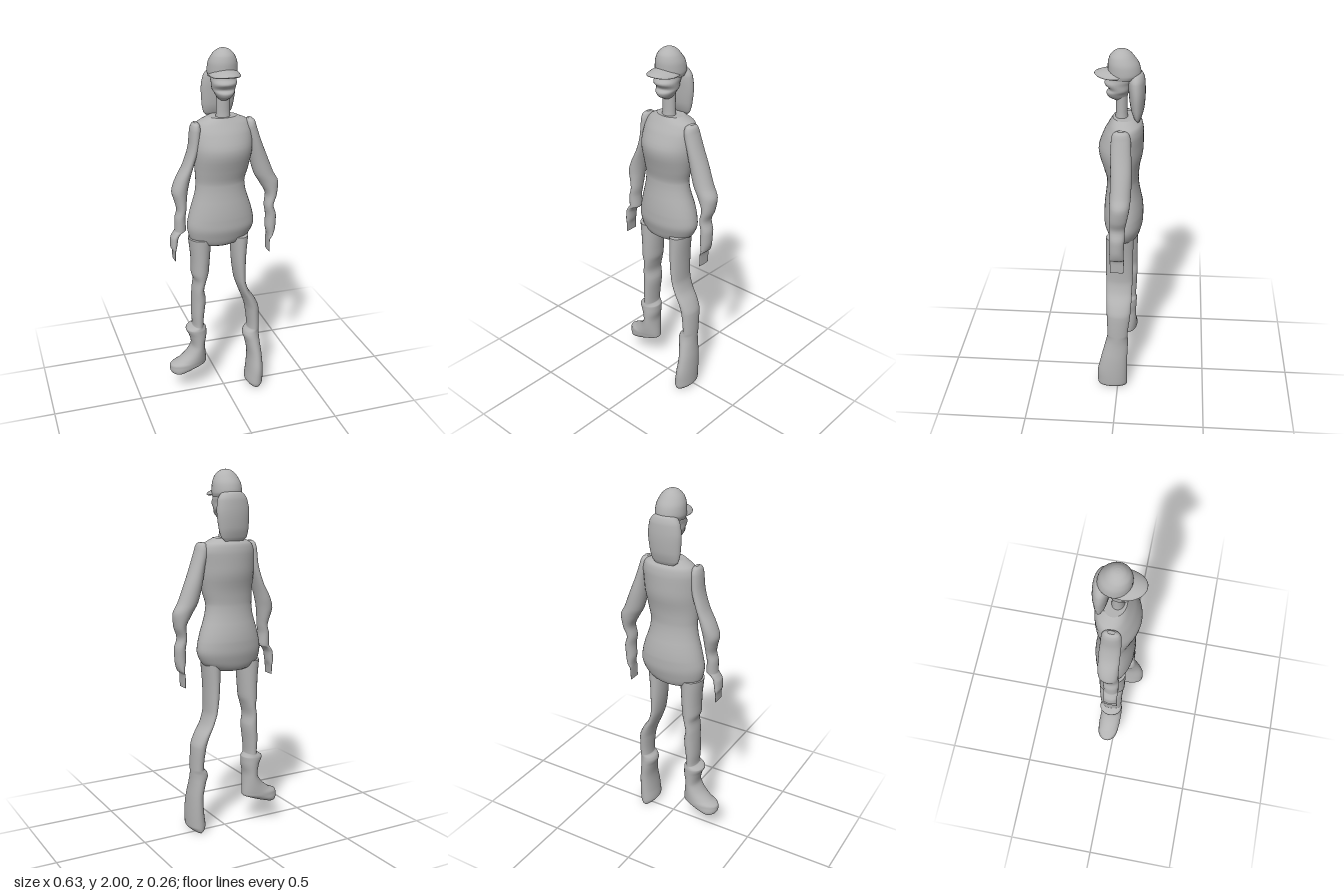
import * as THREE from 'three';

const grey = new THREE.MeshStandardMaterial({ color: 0xb3b3b3 });
grey.name = 'plain grey';

// Monotone cubic through one column of the rows, at height y between rows i and i + 1
function ease(rows, col, i, y) {
  const slope = k => (rows[k + 1][col] - rows[k][col]) / (rows[k + 1][0] - rows[k][0]);
  const tangent = k => {
    if (k === 0) return slope(0);
    if (k === rows.length - 1) return slope(k - 1);
    const a = slope(k - 1), b = slope(k);
    return a * b <= 0 ? 0 : (2 * a * b) / (a + b);
  };
  const h = rows[i + 1][0] - rows[i][0], t = (y - rows[i][0]) / h;
  const t2 = t * t, t3 = t2 * t;
  return (2 * t3 - 3 * t2 + 1) * rows[i][col] + (t3 - 2 * t2 + t) * h * tangent(i)
    + (3 * t2 - 2 * t3) * rows[i + 1][col] + (t3 - t2) * h * tangent(i + 1);
}

// Loft of oval slices. Rows run from bottom to top: [y, xMin, xMax, zBack, zFront]
function loft(name, rows, sides = 28, steps = 4) {
  const rings = [];
  rows.forEach((row, i) => {
    if (i === rows.length - 1) { rings.push(row); return; }
    for (let s = 0; s < steps; s++) {
      const y = row[0] + (rows[i + 1][0] - row[0]) * s / steps;
      rings.push([y, ...[1, 2, 3, 4].map(c => ease(rows, c, i, y))]);
    }
  });
  const pos = [], idx = [];
  const addRing = ([y, x0, x1, z0, z1]) => {
    const start = pos.length / 3;
    for (let j = 0; j < sides; j++) {
      const a = j / sides * Math.PI * 2;
      pos.push((x0 + x1) / 2 + (x1 - x0) / 2 * Math.sin(a), y,
        (z0 + z1) / 2 + (z1 - z0) / 2 * Math.cos(a));
    }
    return start;
  };
  const starts = rings.map(addRing);
  for (let i = 0; i < starts.length - 1; i++) {
    for (let j = 0; j < sides; j++) {
      const k = (j + 1) % sides, a = starts[i], b = starts[i + 1];
      idx.push(a + j, a + k, b + k, a + j, b + k, b + j);
    }
  }
  // flat end caps with their own corners
  [[rings[0], false], [rings[rings.length - 1], true]].forEach(([ring, up]) => {
    const s = addRing(ring), c = pos.length / 3;
    pos.push((ring[1] + ring[2]) / 2, ring[0], (ring[3] + ring[4]) / 2);
    for (let j = 0; j < sides; j++) {
      const k = (j + 1) % sides;
      if (up) idx.push(c, s + j, s + k); else idx.push(c, s + k, s + j);
    }
  });
  const geo = new THREE.BufferGeometry();
  geo.setAttribute('position', new THREE.Float32BufferAttribute(pos, 3));
  geo.setIndex(idx);
  geo.computeVertexNormals();
  const mesh = new THREE.Mesh(geo, grey);
  mesh.name = name;
  return mesh;
}

export function createModel() {
  const model = new THREE.Group();
  model.name = 'figure';

  // Tunic: flared hem, narrow waist, full chest, sloping shoulders
  model.add(loft('tunic', [
    [0.925, -0.11, 0.07, -0.08, 0.035], [0.94, -0.16, 0.11, -0.1, 0.055],
    [0.98, -0.19, 0.155, -0.115, 0.07], [1.04, -0.2, 0.177, -0.127, 0.084],
    [1.1, -0.19, 0.168, -0.128, 0.084], [1.28, -0.15, 0.12, -0.1, 0.068],
    [1.36, -0.155, 0.138, -0.105, 0.085], [1.47, -0.163, 0.158, -0.124, 0.11],
    [1.56, -0.158, 0.16, -0.125, 0.082], [1.61, -0.14, 0.145, -0.118, 0.055],
    [1.645, -0.08, 0.08, -0.085, 0.035],
  ], 40));

  // Neck and head, with chin, mouth and nose in the profile
  model.add(loft('neck', [
    [1.62, -0.04, 0.04, -0.045, 0.025], [1.68, -0.037, 0.037, -0.04, 0.02],
    [1.78, -0.037, 0.037, -0.04, 0.02],
  ]));
  model.add(loft('head', [
    [1.735, -0.022, 0.022, -0.03, 0.025], [1.755, -0.04, 0.04, -0.04, 0.06],
    [1.775, -0.052, 0.052, -0.045, 0.068], [1.795, -0.062, 0.062, -0.055, 0.054],
    [1.825, -0.066, 0.066, -0.065, 0.078], [1.85, -0.068, 0.068, -0.075, 0.06],
    [1.9, -0.068, 0.068, -0.08, 0.05],
  ]));

  // Cap dome
  model.add(loft('capDome', [
    [1.855, -0.074, 0.074, -0.09, 0.05], [1.88, -0.08, 0.08, -0.108, 0.06],
    [1.92, -0.077, 0.077, -0.1, 0.06], [1.96, -0.062, 0.062, -0.075, 0.052],
    [1.987, -0.038, 0.038, -0.05, 0.03], [1.998, -0.016, 0.016, -0.028, 0.008],
    [2.0, -0.002, 0.002, -0.012, -0.008],
  ]));

  // Cap brim: flattened ball, drooping to the sides and the front
  const brimGeo = new THREE.SphereGeometry(1, 32, 16);
  brimGeo.scale(0.08, 0.018, 0.108);
  const p = brimGeo.attributes.position;
  for (let i = 0; i < p.count; i++) {
    p.setY(i, p.getY(i) - 3 * p.getX(i) ** 2 - 0.1 * Math.max(0, p.getZ(i)));
  }
  brimGeo.computeVertexNormals();
  const brim = new THREE.Mesh(brimGeo, grey);
  brim.name = 'capBrim';
  brim.position.set(0, 1.887, 0.02);
  model.add(brim);

  // Long hair hanging behind the head
  model.add(loft('hair', [
    [1.63, -0.06, 0.05, -0.105, -0.085], [1.65, -0.082, 0.07, -0.114, -0.07],
    [1.7, -0.092, 0.084, -0.126, -0.054], [1.78, -0.096, 0.093, -0.131, -0.045],
    [1.84, -0.087, 0.087, -0.128, -0.04], [1.875, -0.065, 0.065, -0.118, -0.045],
    [1.89, -0.03, 0.03, -0.1, -0.06],
  ]));

  // Arms with puffed sleeves and thin blade-like hands
  model.add(loft('leftArm', [
    [0.85, 0.257, 0.261, -0.037, 0.035], [0.92, 0.257, 0.264, -0.04, 0.035],
    [0.945, 0.255, 0.288, -0.04, 0.035], [1.0, 0.244, 0.302, -0.04, 0.037],
    [1.06, 0.246, 0.304, -0.043, 0.037], [1.12, 0.238, 0.288, -0.045, 0.037],
    [1.18, 0.246, 0.308, -0.055, 0.036], [1.25, 0.212, 0.317, -0.068, 0.036],
    [1.31, 0.178, 0.288, -0.073, 0.035], [1.4, 0.154, 0.252, -0.075, 0.034],
    [1.5, 0.136, 0.212, -0.07, 0.036], [1.58, 0.117, 0.185, -0.065, 0.034],
    [1.61, 0.122, 0.175, -0.055, 0.026], [1.624, 0.138, 0.16, -0.035, 0.005],
  ]));
  model.add(loft('rightArm', [
    [0.865, -0.286, -0.282, -0.037, 0.035], [0.91, -0.289, -0.277, -0.04, 0.035],
    [0.945, -0.302, -0.266, -0.04, 0.035], [0.99, -0.3, -0.258, -0.04, 0.035],
    [1.02, -0.284, -0.24, -0.042, 0.035], [1.035, -0.276, -0.214, -0.043, 0.036],
    [1.1, -0.274, -0.217, -0.045, 0.037], [1.15, -0.262, -0.21, -0.048, 0.037],
    [1.2, -0.272, -0.205, -0.06, 0.036], [1.25, -0.284, -0.198, -0.07, 0.036],
    [1.31, -0.265, -0.185, -0.075, 0.035], [1.4, -0.216, -0.16, -0.075, 0.035],
    [1.5, -0.187, -0.13, -0.07, 0.036], [1.58, -0.18, -0.122, -0.065, 0.034],
    [1.61, -0.172, -0.128, -0.055, 0.026], [1.624, -0.158, -0.14, -0.035, 0.005],
  ]));

  // Left leg with its boot reaching the ground
  model.add(loft('leftLeg', [
    [0, 0.155, 0.192, -0.045, 0.09], [0.012, 0.138, 0.21, -0.053, 0.11],
    [0.035, 0.126, 0.225, -0.055, 0.116], [0.1, 0.134, 0.226, -0.055, 0.116],
    [0.2, 0.142, 0.222, -0.055, 0.098], [0.29, 0.128, 0.213, -0.058, 0.076],
    [0.33, 0.116, 0.211, -0.058, 0.066], [0.352, 0.122, 0.211, -0.057, 0.061],
    [0.375, 0.144, 0.211, -0.057, 0.058], [0.5, 0.132, 0.207, -0.07, 0.062],
    [0.56, 0.115, 0.184, -0.074, 0.064], [0.63, 0.088, 0.14, -0.076, 0.067],
    [0.7, 0.066, 0.123, -0.078, 0.069], [0.82, 0.05, 0.126, -0.08, 0.071],
    [0.97, 0.042, 0.14, -0.08, 0.07],
  ]));

  // Right leg with its raised foot turned outward
  model.add(loft('rightLeg', [
    [0.118, -0.285, -0.25, -0.07, 0.0], [0.128, -0.308, -0.215, -0.086, 0.018],
    [0.15, -0.316, -0.15, -0.094, 0.028], [0.175, -0.315, -0.1, -0.095, 0.032],
    [0.2, -0.268, -0.101, -0.093, 0.034], [0.25, -0.212, -0.106, -0.09, 0.036],
    [0.3, -0.187, -0.11, -0.088, 0.037], [0.36, -0.2, -0.1, -0.09, 0.038],
    [0.4, -0.217, -0.099, -0.092, 0.038], [0.412, -0.205, -0.108, -0.09, 0.036],
    [0.425, -0.178, -0.118, -0.086, 0.033], [0.5, -0.182, -0.112, -0.09, 0.036],
    [0.59, -0.18, -0.102, -0.093, 0.038], [0.65, -0.176, -0.112, -0.093, 0.04],
    [0.71, -0.168, -0.1, -0.094, 0.045], [0.76, -0.182, -0.085, -0.094, 0.05],
    [0.82, -0.182, -0.08, -0.094, 0.052], [0.97, -0.195, -0.068, -0.095, 0.055],
  ]));

  return model;
}
